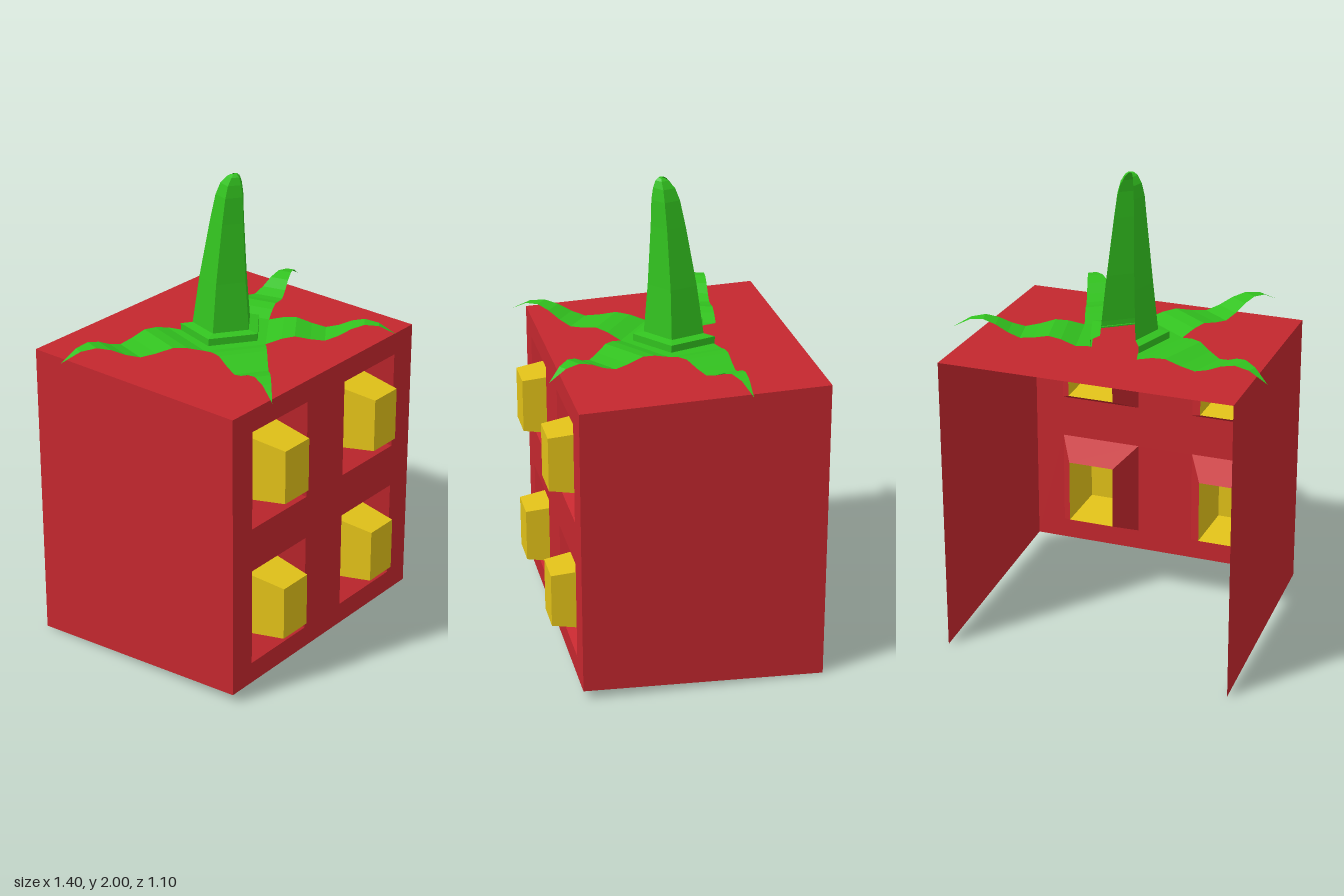
import * as THREE from 'three';

const material = (color) =>
  new THREE.MeshStandardMaterial({ color, flatShading: true, side: THREE.DoubleSide });

// Skin a list of equally long cross-sections (arrays of [x, y, z]).
function loft(rows, closed = false) {
  const n = rows[0].length;
  const index = [];
  for (let r = 0; r < rows.length - 1; r++) {
    for (let i = 0; i < (closed ? n : n - 1); i++) {
      const a = r * n + i, b = r * n + (i + 1) % n;
      index.push(a, b, b + n, a, b + n, a + n);
    }
  }
  const g = new THREE.BufferGeometry();
  g.setAttribute('position', new THREE.Float32BufferAttribute(rows.flat(2), 3));
  g.setIndex(index);
  const flat = g.toNonIndexed();
  flat.computeVertexNormals();
  return flat;
}

// Rectangle corners, counter-clockwise from the front.
const rect = (cx, cy, w, h, z) => [
  [cx - w / 2, cy - h / 2, z], [cx + w / 2, cy - h / 2, z],
  [cx + w / 2, cy + h / 2, z], [cx - w / 2, cy + h / 2, z],
];

const lerp = (a, b, t) => a.map((v, i) => v + (b[i] - v) * t);

export function createModel() {
  const model = new THREE.Group();
  const red = material(0xc4272e);
  const yellow = material(0xe0c018);
  const green = material(0x32c21f);

  const add = (name, geometry, mat, parent = model) => {
    const mesh = new THREE.Mesh(geometry, mat);
    mesh.name = name;
    parent.add(mesh);
    return mesh;
  };

  // Side walls and roof, open at the back and underneath
  const arch = (x0, x1, y0, y1, z) => [[x0, y0, z], [x0, y1, z], [x1, y1, z], [x1, y0, z]];
  add('wallsAndRoof', loft([
    arch(-0.617, 0.608, 0.04, 1.268, 0.46),
    arch(-0.625, 0.615, 0, 1.3, -0.555),
  ]), red);

  // Front wall with four window openings
  const zFront = 0.46;
  const wall = new THREE.Shape(
    [[-0.617, 0.04], [0.608, 0.04], [0.608, 1.268], [-0.617, 1.268]]
      .map(([x, y]) => new THREE.Vector2(x, y)));
  for (const x of [-0.313, 0.3]) {
    for (const [y, label] of [[0.345, 'lower'], [0.96, 'upper']]) {
      const opening = rect(x, y, 0.36, 0.426, zFront);
      wall.holes.push(new THREE.Path(opening.map(([px, py]) => new THREE.Vector2(px, py)).reverse()));

      const base = rect(x, y, 0.207, 0.287, 0.33);
      const tip = rect(x, y, 0.156, 0.23, 0.545);
      const windowGroup = new THREE.Group();
      windowGroup.name = label + (x > 0 ? 'LeftWindow' : 'RightWindow');
      model.add(windowGroup);
      // Sloped recess leading back, then a hollow block coming forward
      add('recess', loft([base, opening], true), red, windowGroup);
      const centre = [x, y, 0.545];
      add('block', loft([base, tip, tip.map(() => centre)], true), yellow, windowGroup);
    }
  }
  const front = new THREE.ShapeGeometry(wall);
  front.translate(0, 0, zFront);
  add('frontWall', front, red);

  // Four sides of a pentagon, left open at the back
  const openPentagon = (y, radius, z) => Array.from({ length: 5 }, (_, i) => {
    const a = THREE.MathUtils.degToRad(234 - i * 72);
    return [-0.012 + radius * Math.cos(a), y, z + radius * Math.sin(a)];
  });

  // Stem and its collar: height, radius, z centre
  const stem = [
    [1.345, 0.13, -0.063], [1.55, 0.106, -0.056], [1.8, 0.075, -0.038],
    [1.91, 0.061, -0.027], [1.96, 0.047, -0.02], [1.99, 0.028, -0.011],
    [2, 0.014, -0.008], [2, 0, -0.008],
  ];
  add('stem', loft(stem.map((s) => openPentagon(...s))), green);
  add('collar', loft([
    openPentagon(1.3, 0.178, -0.065), openPentagon(1.338, 0.178, -0.065),
    openPentagon(1.345, 0.13, -0.063),
  ]), green);

  // Wavy leaves: notches between them, and their tips, as [x, z]
  const notches = [[-0.13, -0.27], [-0.23, 0.01], [-0.022, 0.162], [0.2, 0.01], [0.15, -0.222]];
  const tips = [[-0.7, -0.35], [-0.48, 0.545], [0.38, 0.535], [0.7, -0.212]];
  const wave = [
    [0, 1.308], [0.12, 1.328], [0.22, 1.335], [0.34, 1.318], [0.45, 1.308],
    [0.55, 1.325], [0.65, 1.352], [0.75, 1.367], [0.86, 1.358], [1, 1.315],
  ];
  const root = openPentagon(1.308, 0.17, -0.065);
  tips.forEach((tip, i) => {
    const rows = wave.map(([t, y]) => [notches[i], notches[i + 1]].map((n) => {
      const [x, z] = lerp(n, tip, t);
      return [x, y, z];
    }));
    add('leaf' + (i + 1), loft([[root[i], root[i + 1]], ...rows]), green);
  });

  return model;
}
